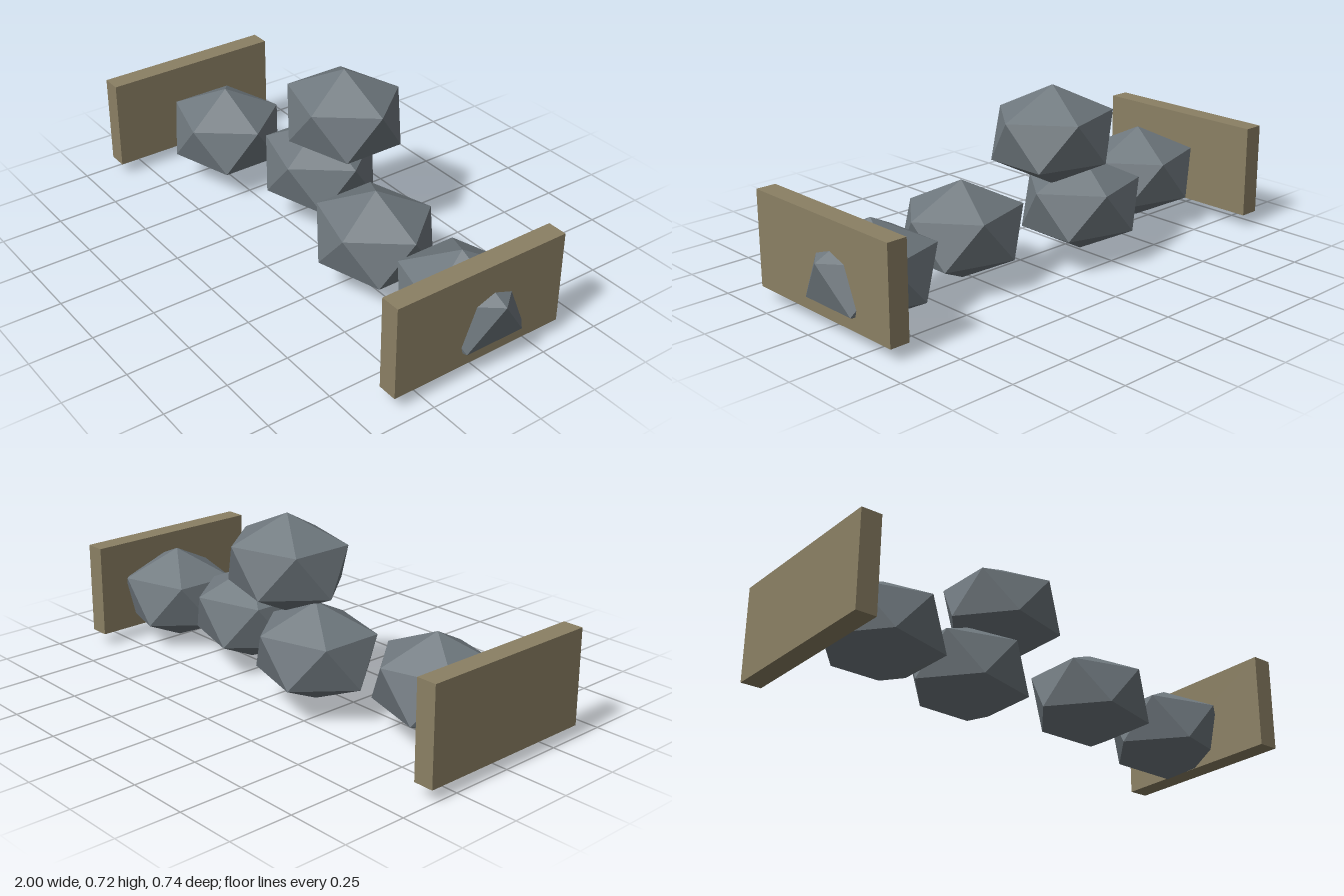
import * as THREE from 'three';
import { ConvexGeometry } from 'three/addons/geometries/ConvexGeometry.js';

// Icosahedron standing on a pole, squashed into a boulder
function boulderGeometry(rx, ry, rz) {
  const h = 1 / Math.sqrt(5), r = 2 * h;
  const points = [new THREE.Vector3(0, 1, 0), new THREE.Vector3(0, -1, 0)];
  for (let i = 0; i < 10; i++) {
    const a = (i * Math.PI) / 5;
    points.push(new THREE.Vector3(r * Math.cos(a), i % 2 ? -h : h, r * Math.sin(a)));
  }
  return new ConvexGeometry(points.map((p) => p.multiply(new THREE.Vector3(rx, ry, rz))));
}

export function createModel() {
  const model = new THREE.Group();
  model.name = 'boulderPile';

  const stone = new THREE.MeshStandardMaterial({ color: 0x6f787e, flatShading: true });
  stone.name = 'stone grey';
  const wood = new THREE.MeshStandardMaterial({ color: 0x8b8064, flatShading: true });
  wood.name = 'weathered wood';

  // Boulders: a row of four with one resting on top
  const rock = boulderGeometry(0.266, 0.191, 0.24);
  const spots = [
    [-0.667, 0.216, -0.002],
    [-0.19, 0.23, -0.137],
    [0.318, 0.216, -0.022],
    [0.76, 0.191, -0.055],
    [-0.033, 0.531, -0.137],
  ];
  spots.forEach((p, i) => {
    const mesh = new THREE.Mesh(rock, stone);
    mesh.name = `boulder${i + 1}`;
    mesh.position.set(...p);
    model.add(mesh);
  });

  // Retaining boards at both ends
  const board = new THREE.BoxGeometry(0.08, 0.37, 0.738);
  for (const [name, x] of [['rightBoard', -0.96], ['leftBoard', 0.895]]) {
    const mesh = new THREE.Mesh(board, wood);
    mesh.name = name;
    mesh.position.set(x, 0.235, 0);
    model.add(mesh);
  }
  return model;
}
